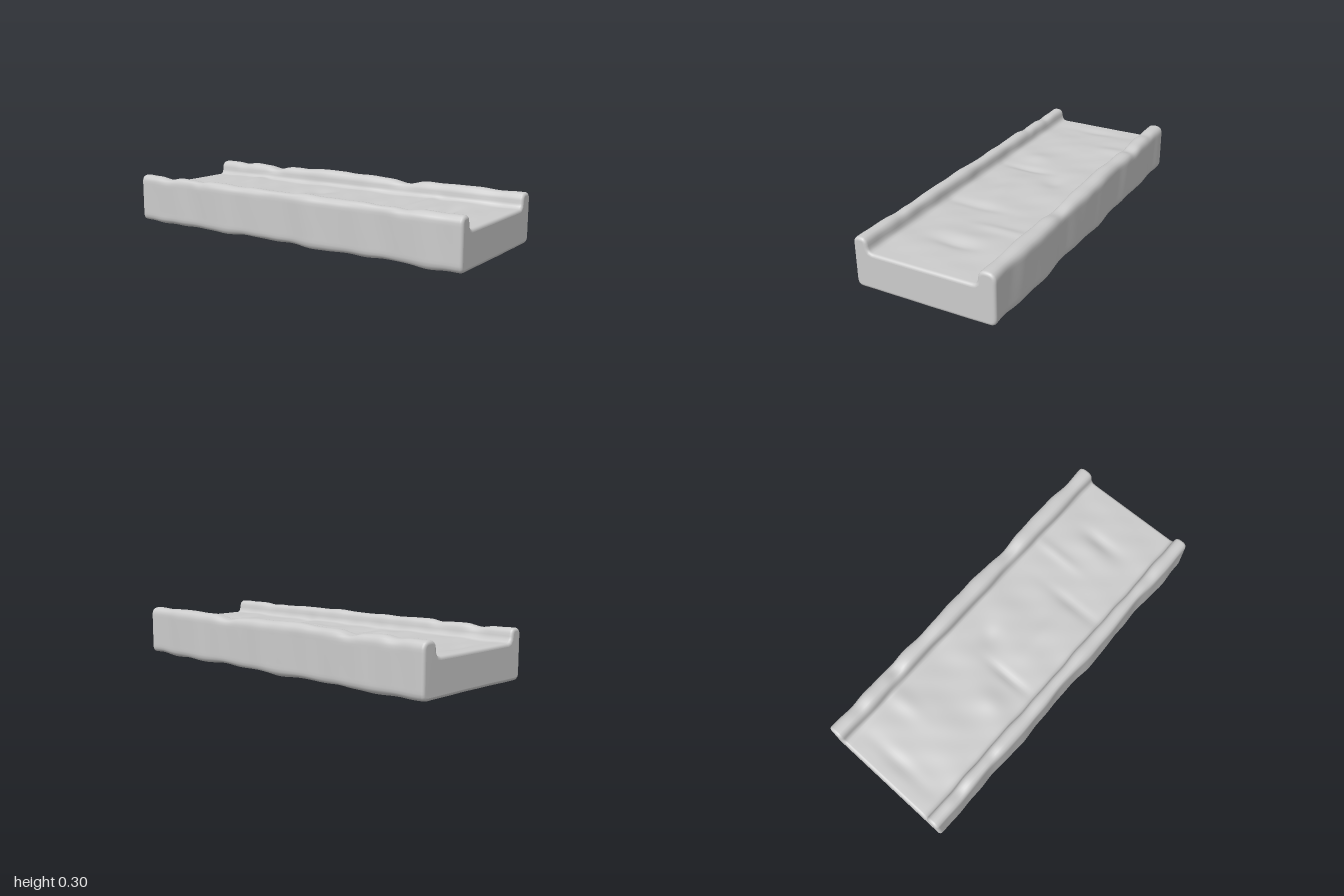
import * as THREE from 'three';

// Rounded U cross-section: x, y, corner radius (counter-clockwise)
const CORNERS = [
  [-0.372, 0.042, 0.035], [0.372, 0.042, 0.035], [0.372, 0.304, 0.042], [0.286, 0.304, 0.035],
  [0.278, 0.229, 0.022], [-0.293, 0.229, 0.022], [-0.305, 0.298, 0.026], [-0.372, 0.298, 0.035],
];
// Soft lumps: x, z, x radius, z radius, height
const FLOOR_LUMPS = [
  [0, 0.73, 0.1, 0.035, -0.013], [0, 0.66, 0.13, 0.05, 0.008], [0.14, 0.52, 0.14, 0.03, 0.01],
  [-0.12, 0.34, 0.16, 0.03, -0.01], [-0.1, 0.12, 0.05, 0.14, 0.008], [0.1, -0.08, 0.06, 0.06, -0.012],
  [-0.12, -0.19, 0.12, 0.025, -0.012], [-0.13, -0.34, 0.08, 0.06, 0.01], [0.2, -0.64, 0.13, 0.05, 0.011],
  [0, -0.89, 0.16, 0.04, -0.011],
];
const BASE_LUMPS = [
  [-0.04, -0.85, 0.09, 0.07, 0.03], [-0.29, -0.83, 0.1, 0.08, 0.02], [0.2, 0.78, 0.12, 0.08, 0.012],
  [-0.15, 0.4, 0.14, 0.06, 0.012], [0.1, 0, 0.14, 0.05, 0.012], [-0.2, -0.25, 0.1, 0.07, 0.012],
  [0.28, -0.55, 0.09, 0.06, 0.012], [0, 0.2, 0.12, 0.04, -0.008],
];
const RAIL_LUMPS = [
  [0.33, -0.56, 0.12, 0.05, -0.02], [-0.34, -0.56, 0.12, 0.04, -0.008], [0.33, 0.33, 0.12, 0.07, -0.018],
  [0.33, -0.2, 0.12, 0.22, 0.006], [-0.34, 0.7, 0.12, 0.05, -0.008], [-0.34, -0.8, 0.12, 0.05, -0.012],
  [0.33, -0.82, 0.12, 0.05, -0.01],
];

const lumps = (list, x, z) => list.reduce((sum, [cx, cz, rx, rz, h]) =>
  sum + h * Math.exp(-(((x - cx) / rx) ** 2) - ((z - cz) / rz) ** 2), 0);

const ripple = (x, y, z) =>
  0.4 * Math.sin(9 * z + 4 * x + 1) + 0.35 * Math.sin(21 * z - 9 * x + 7 * y) +
  0.25 * Math.sin(37 * z + 17 * x + 2) * Math.cos(14 * x - 8 * y);

function makeProfile() {
  const shape = new THREE.Shape();
  const v = CORNERS.map(([x, y]) => new THREE.Vector2(x, y));
  v.forEach((p, i) => {
    const r = CORNERS[i][2];
    const toward = (q) => p.clone().add(q.clone().sub(p).setLength(r));
    const a = toward(v[(i + 7) % 8]), b = toward(v[(i + 1) % 8]);
    if (i) shape.lineTo(a.x, a.y); else shape.moveTo(a.x, a.y);
    shape.quadraticCurveTo(p.x, p.y, b.x, b.y);
  });
  shape.closePath();
  return shape.getSpacedPoints(140).slice(0, -1);
}

// Hand-worn unevenness, pushed along the surface normal
function relief(x, y, z, nx, ny) {
  const fade = 0.2 + 0.8 * THREE.MathUtils.smoothstep(1 - Math.abs(z), 0, 0.12);
  const wave = ripple(x, y, z);
  let d = 0.005 * wave;
  if (ny < 0) d += -ny * (0.005 * wave + lumps(BASE_LUMPS, x, z));
  else if (y > 0.26) d += ny * lumps(RAIL_LUMPS, x, z);
  else if (y > 0.21) d += ny * lumps(FLOOR_LUMPS, x, z);
  if (Math.abs(x) > 0.36) d += Math.abs(nx) * 0.004 * Math.sin(11 * z + 3 * x);
  return d * fade;
}

function createRings() {
  const profile = makeProfile(), n = profile.length;
  const normals = profile.map((p, i) => {
    const t = profile[(i + 1) % n].clone().sub(profile[(i + n - 1) % n]).normalize();
    return new THREE.Vector2(t.y, -t.x);
  });
  // Stations along the length, with rounded edges at both ends
  const R = 0.016, stations = [];
  for (let k = 0; k < 6; k++) {
    const a = (k / 6) * Math.PI / 2;
    stations.push([-1 + R * (1 - Math.cos(a)), R * (1 - Math.sin(a))]);
  }
  for (let k = 0; k <= 130; k++) stations.push([-1 + R + (2 - 2 * R) * k / 130, 0]);
  for (let k = 5; k >= 0; k--) stations.push([-stations[k][0], stations[k][1]]);
  return stations.map(([z, inset]) => profile.map((p, i) => {
    const m = normals[i], d = relief(p.x, p.y, z, m.x, m.y) - inset;
    const skew = z < 0 ? 0.006 * (p.x / 0.37 + 1) * z * z : -0.004 * z * z;
    return new THREE.Vector3(p.x + m.x * d, p.y + m.y * d, z + skew);
  }));
}

function toMesh(name, points, index, material) {
  const g = new THREE.BufferGeometry().setFromPoints(points);
  g.setIndex(index);
  g.computeVertexNormals();
  const mesh = new THREE.Mesh(g, material);
  mesh.name = name;
  return mesh;
}

export function createModel() {
  const group = new THREE.Group();
  group.name = 'troughSlab';
  const material = new THREE.MeshStandardMaterial({ color: 0xcccccc, roughness: 0.9 });
  const rings = createRings(), n = rings[0].length;

  // Channel body with floor, side rails and underside
  const index = [];
  for (let j = 0; j < rings.length - 1; j++) {
    for (let i = 0; i < n; i++) {
      const a = j * n + i, b = j * n + (i + 1) % n;
      index.push(a, b, a + n, b, b + n, a + n);
    }
  }
  group.add(toMesh('channelBody', rings.flat(), index, material));

  // Flat end faces
  for (const [name, ring, front] of [['frontEnd', rings[rings.length - 1], true], ['backEnd', rings[0], false]]) {
    const faces = THREE.ShapeUtils.triangulateShape(ring.map((p) => new THREE.Vector2(p.x, p.y)), []);
    group.add(toMesh(name, ring, faces.flatMap(([a, b, c]) => (front ? [a, b, c] : [a, c, b])), material));
  }

  // Rest on the ground, centred
  const box = new THREE.Box3().setFromObject(group), c = box.getCenter(new THREE.Vector3());
  group.children.forEach((m) => m.geometry.translate(-c.x, -box.min.y, -c.z));
  return group;
}
